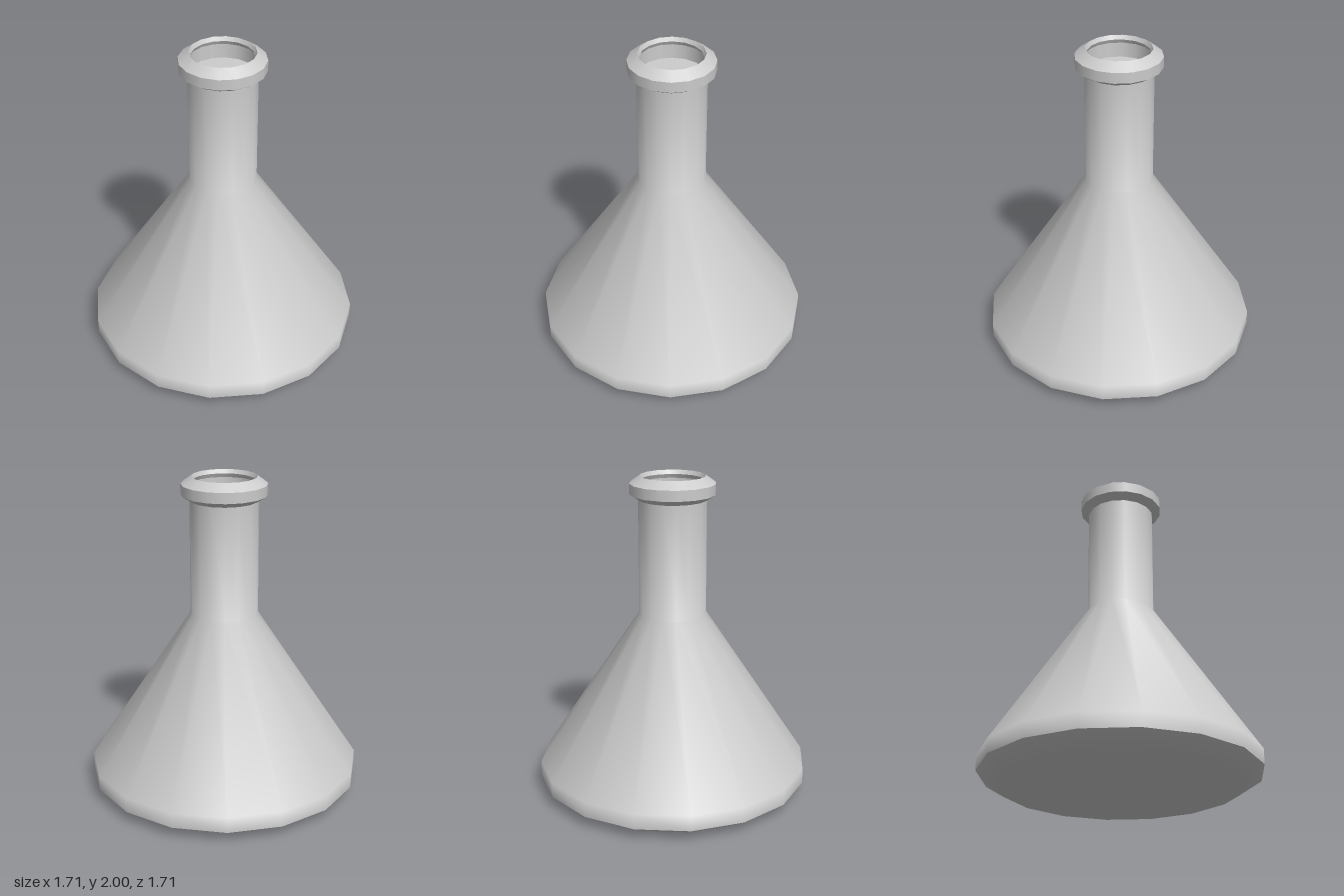
import * as THREE from 'three';

const SIDES = 16;
const material = new THREE.MeshStandardMaterial({ color: 0xcccccc });

// One smooth turned surface; breaks between surfaces keep the edges sharp.
function turned(name, profile) {
  const points = profile.map(([r, y]) => new THREE.Vector2(r, y));
  const mesh = new THREE.Mesh(new THREE.LatheGeometry(points, SIDES), material);
  mesh.name = name;
  return mesh;
}

export function createModel() {
  const flask = new THREE.Group();
  flask.name = 'conicalFlask';

  // Underside with its chamfer
  flask.add(turned('base', [[0, 0], [0.74, 0.005], [0.853, 0.075]]));

  // Short wall, cone and neck
  flask.add(turned('body', [[0.853, 0.075], [0.853, 0.17], [0.21, 1.145], [0.21, 1.86]]));

  // Collar around the mouth, one surface per facet band
  const collar = new THREE.Group();
  collar.name = 'collar';
  const rim = [[0.2, 1.85], [0.263, 1.89], [0.263, 1.955], [0.2, 2], [0.187, 1.975], [0.2, 1.95], [0.2, 1.86]];
  const bands = ['collarUnderside', 'collarSide', 'collarTop', 'mouthBevel', 'mouthUndercut', 'mouthWall'];
  bands.forEach((name, i) => collar.add(turned(name, [rim[i], rim[i + 1]])));
  flask.add(collar);

  // Closed floor just inside the mouth
  flask.add(turned('mouthFloor', [[0.2, 1.86], [0, 1.86]]));

  return flask;
}
